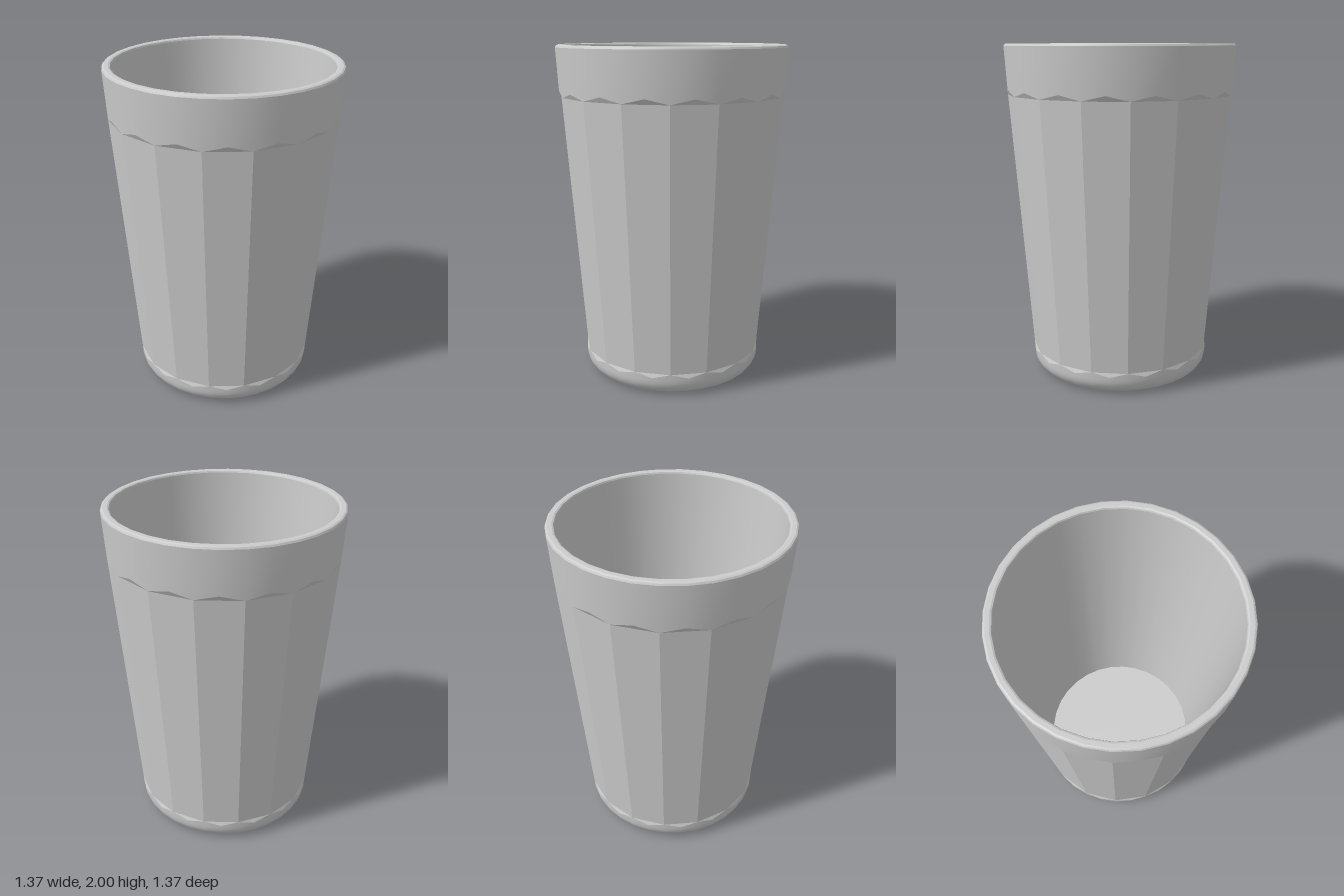
import * as THREE from 'three';
import { toCreasedNormals } from 'three/addons/utils/BufferGeometryUtils.js';

const SIDES = 16;          // flat panels round the tumbler
const SEG = SIDES * 2;     // even columns: panel middles, odd columns: panel corners
const FLAT = Math.cos(Math.PI / SIDES);

// A ring has its own radius and height at panel middles and at panel corners.
const round = (r, y) => ({ mid: [r, y], corner: [r, y] });
const panelLine = (r, y) => ({ mid: [r * FLAT, y], corner: [r, y] });
const scallop = (rMid, yMid, r, y) => ({ mid: [rMid, yMid], corner: [r, y] });

// Skin through rings; rings may touch at the corners, giving triangles there.
function skin(rings) {
  const point = (ring, k) => {
    const [r, y] = k % 2 ? ring.corner : ring.mid;
    const a = ((k % SEG) / SEG) * Math.PI * 2;
    return new THREE.Vector3(r * Math.sin(a), y, r * Math.cos(a));
  };
  const positions = [];
  const triangle = (a, b, c) => {
    if (a.equals(b) || b.equals(c) || a.equals(c)) return;
    for (const p of [a, b, c]) positions.push(p.x, p.y, p.z);
  };
  for (let i = 0; i < rings.length - 1; i++) {
    for (let k = 0; k < SEG; k++) {
      const a = point(rings[i], k), b = point(rings[i], k + 1);
      const c = point(rings[i + 1], k + 1), d = point(rings[i + 1], k);
      triangle(a, b, c);
      triangle(a, c, d);
    }
  }
  const geometry = new THREE.BufferGeometry();
  geometry.setAttribute('position', new THREE.Float32BufferAttribute(positions, 3));
  return toCreasedNormals(geometry, 0.3);
}

export function createModel() {
  const group = new THREE.Group();
  group.name = 'tumbler';
  const material = new THREE.MeshStandardMaterial({ color: 0xcccccc });
  const add = (name, geometry) => {
    const mesh = new THREE.Mesh(geometry, material);
    mesh.name = name;
    group.add(mesh);
    return mesh;
  };
  const disc = (name, radius, y, tilt) => {
    const mesh = add(name, new THREE.CircleGeometry(radius, SEG));
    mesh.rotation.x = tilt;
    mesh.position.y = y;
  };

  // Rounded foot, ending in a scalloped upper edge
  const foot = [];
  for (let i = 0; i <= 8; i++) {
    const a = (i / 8) * Math.PI / 2;
    foot.push(round(0.455 + 0.09 * Math.sin(a), 0.1 - 0.1 * Math.cos(a)));
  }
  const footEdge = scallop(0.546, 0.115, 0.547, 0.14);
  add('foot', skin([...foot, footEdge]));
  disc('underside', 0.455, 0, Math.PI / 2);

  // Flat panels with small chamfer triangles at both ends
  const bandEdge = scallop(0.671, 1.735, 0.668, 1.705);
  add('panels', skin([footEdge, panelLine(0.547, 0.14), panelLine(0.668, 1.705), bandEdge]));

  // Smooth band and rounded-over lip
  add('band', skin([bandEdge, round(0.686, 1.985)]));
  add('lip', skin([
    round(0.686, 1.985), round(0.681, 1.995), round(0.672, 2),
    round(0.648, 2), round(0.639, 1.996), round(0.635, 1.987),
  ]));

  // Inside wall and floor
  add('insideWall', skin([round(0.635, 1.987), round(0.487, 0.1)]));
  disc('insideFloor', 0.487, 0.1, -Math.PI / 2);

  return group;
}
